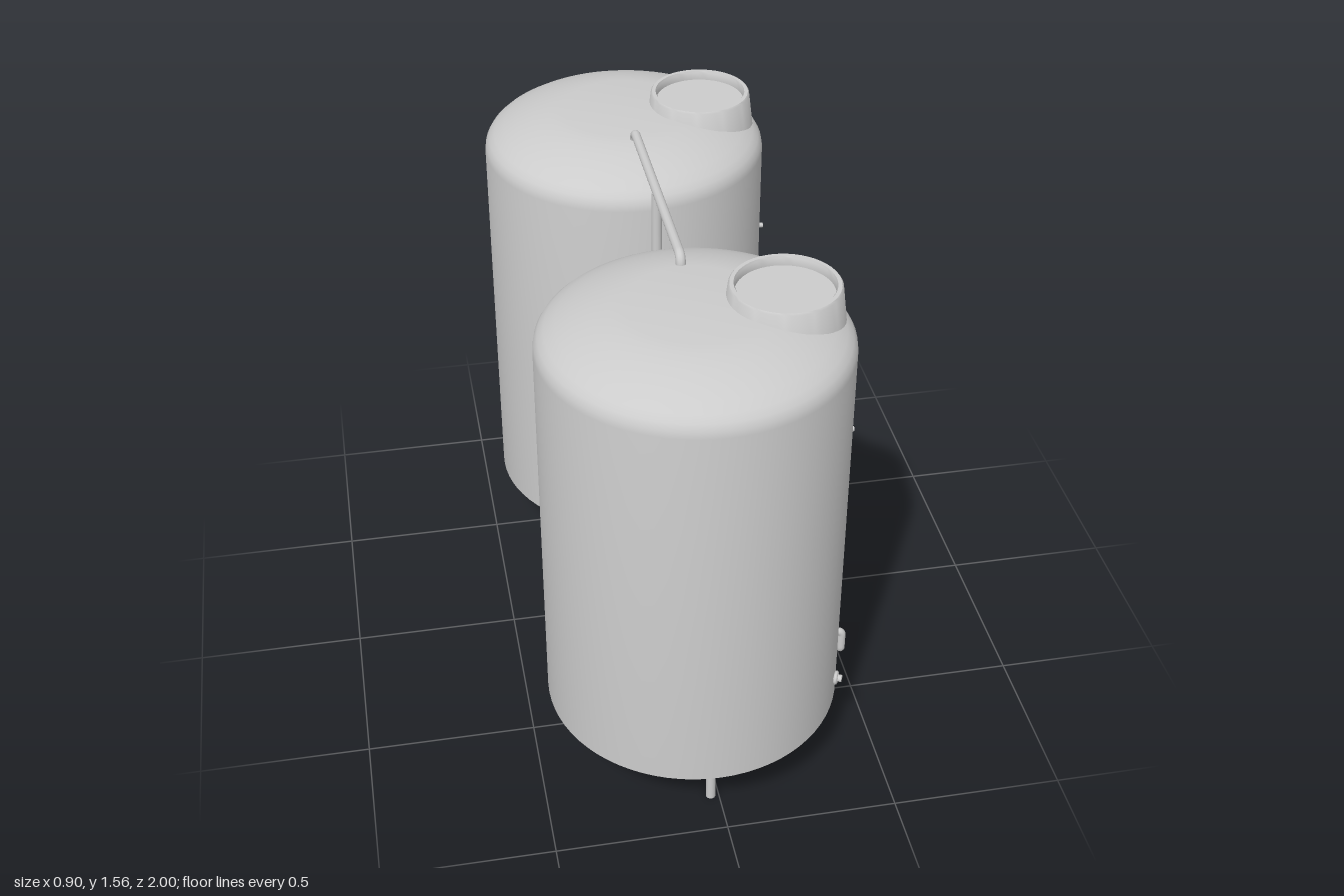
import * as THREE from 'three';
import { toCreasedNormals } from 'three/addons/utils/BufferGeometryUtils.js';

const material = new THREE.MeshStandardMaterial({ color: 0xcccccc });
const CX = -0.024, CZ = 0.57, R = 0.43; // tank axis offset and radius
const v = (x, y, z) => new THREE.Vector3(x, y, z);

function add(parent, name, geometry, x = 0, y = 0, z = 0) {
  const mesh = new THREE.Mesh(geometry, material);
  mesh.name = name;
  mesh.position.set(x, y, z);
  parent.add(mesh);
  return mesh;
}

function lathe(profile, segments) {
  const points = profile.map(([r, y]) => new THREE.Vector2(r, y));
  return toCreasedNormals(new THREE.LatheGeometry(points, segments), 0.6);
}

// Straight runs joined by rounded elbows
function elbowPath(points, bend) {
  const path = new THREE.CurvePath();
  let from = points[0];
  for (let i = 1; i < points.length - 1; i++) {
    const p = points[i];
    const a = p.clone().add(points[i - 1].clone().sub(p).setLength(bend));
    const b = p.clone().add(points[i + 1].clone().sub(p).setLength(bend));
    path.add(new THREE.LineCurve3(from, a));
    path.add(new THREE.QuadraticBezierCurve3(a, p, b));
    from = b;
  }
  path.add(new THREE.LineCurve3(from, points[points.length - 1]));
  return path;
}

// Round pipe with closed ends
function pipe(parent, name, curve, radius, segments = 160) {
  const group = new THREE.Group();
  group.name = name;
  add(group, name + 'Body', new THREE.TubeGeometry(curve, segments, radius, 12));
  for (const [t, sign] of [[0, -1], [1, 1]]) {
    const p = curve.getPointAt(t);
    const cap = add(group, name + 'End', new THREE.CircleGeometry(radius, 12), p.x, p.y, p.z);
    cap.lookAt(p.clone().addScaledVector(curve.getTangentAt(t), sign));
  }
  parent.add(group);
}

// Short outlet with a collar, pointing straight out of the tank wall
function outlet(tank, name, y, angle, radius) {
  const group = new THREE.Group();
  group.name = name;
  const stub = add(group, name + 'Stub', new THREE.CylinderGeometry(radius * 0.55, radius * 0.55, 0.04, 12), R + 0.003);
  stub.rotation.z = -Math.PI / 2;
  const collar = add(group, name + 'Collar', new THREE.TorusGeometry(radius * 0.75, radius * 0.3, 8, 16), R + 0.006);
  collar.rotation.y = Math.PI / 2;
  group.position.y = y;
  group.rotation.y = -angle;
  tank.add(group);
}

function makeTank(side) {
  const tank = new THREE.Group();
  tank.name = side > 0 ? 'frontTank' : 'backTank';
  tank.position.set(CX, 0, side * CZ);

  // Shell with domed shoulder
  add(tank, 'shell', lathe([
    [0, 0.2], [0.422, 0.2], [R, 0.208], [R, 1.4], [0.427, 1.42], [0.417, 1.438],
    [0.4, 1.454], [0.37, 1.472], [0.33, 1.49], [0.28, 1.507], [0.23, 1.519], [0.19, 1.524], [0, 1.525],
  ], 72));

  // Tapered manhole neck with recessed lid
  add(tank, 'manhole', lathe([
    [0.171, 1.4], [0.152, 1.555], [0.148, 1.56], [0.137, 1.56], [0.134, 1.555], [0.134, 1.532], [0, 1.532],
  ], 48), 0.24, 0, 0);

  // Base ring and four legs
  const ring = add(tank, 'baseRing', new THREE.TorusGeometry(0.323, 0.027, 12, 10), 0, 0.173, 0);
  ring.rotation.x = Math.PI / 2;
  for (let i = 0; i < 4; i++) {
    const a = i * Math.PI / 2;
    add(tank, 'leg', new THREE.CylinderGeometry(0.014, 0.014, 0.19, 16),
      0.3 * Math.cos(a), 0.095, 0.3 * Math.sin(a));
  }

  // Outlets: mid-height sensor, lower drain, and collars for the joining pipes
  outlet(tank, 'sensorPort', 1.06, 0, 0.014);
  outlet(tank, 'drainPort', 0.3, side * 0.446, 0.02);
  outlet(tank, 'pipePort', 0.3, 0, 0.017);
  outlet(tank, 'hosePort', 0.3, -side * 0.436, 0.018);
  return tank;
}

export function createModel() {
  const model = new THREE.Group();
  model.name = 'twinTanks';
  model.add(makeTank(1), makeTank(-1));

  // Bridge pipe across the tops
  pipe(model, 'topPipe', elbowPath([
    v(CX, 1.5, 0.366), v(CX, 1.546, 0.366), v(CX, 1.546, -0.366), v(CX, 1.5, -0.366)], 0.03), 0.014);

  // Down hose ending in a coil beneath the front tank
  const hose = [
    v(CX, 1.54, 0), v(CX, 1.3, 0.003), v(CX, 1, 0.012), v(CX, 0.7, 0.031), v(CX, 0.45, 0.058),
    v(-0.022, 0.27, 0.084), v(-0.005, 0.15, 0.125), v(0.035, 0.075, 0.2), v(0.095, 0.036, 0.3),
    v(0.155, 0.023, 0.4)];
  for (let deg = -20; deg <= 215; deg += 23.5) {
    const a = THREE.MathUtils.degToRad(deg);
    hose.push(v(-0.01 + 0.197 * Math.cos(a), 0.023, 0.575 + 0.2 * Math.sin(a)));
  }
  pipe(model, 'downHose', new THREE.CatmullRomCurve3(hose), 0.015, 200);

  // Lower manifold with its branch
  pipe(model, 'manifold', elbowPath([
    v(0.39, 0.305, CZ), v(0.436, 0.305, CZ), v(0.436, 0.23, CZ),
    v(0.436, 0.23, -CZ), v(0.436, 0.305, -CZ), v(0.39, 0.305, -CZ)], 0.016), 0.0125, 240);
  pipe(model, 'branchPipe', new THREE.LineCurve3(v(0.436, 0.23, -0.004), v(-0.28, 0.23, -0.004)), 0.0135, 4);

  // Sagging hose between the tanks
  const half = [[0.345, 0.305, 0.395], [0.378, 0.305, 0.392], [0.394, 0.29, 0.373],
    [0.386, 0.262, 0.335], [0.367, 0.228, 0.285], [0.362, 0.182, 0.19], [0.362, 0.154, 0.09]];
  const sag = [
    ...half.map(([x, y, z]) => v(x, y, z)), v(0.362, 0.146, 0),
    ...half.slice().reverse().map(([x, y, z]) => v(x, y, -z))];
  pipe(model, 'saggingHose', new THREE.CatmullRomCurve3(sag), 0.013);

  return model;
}
